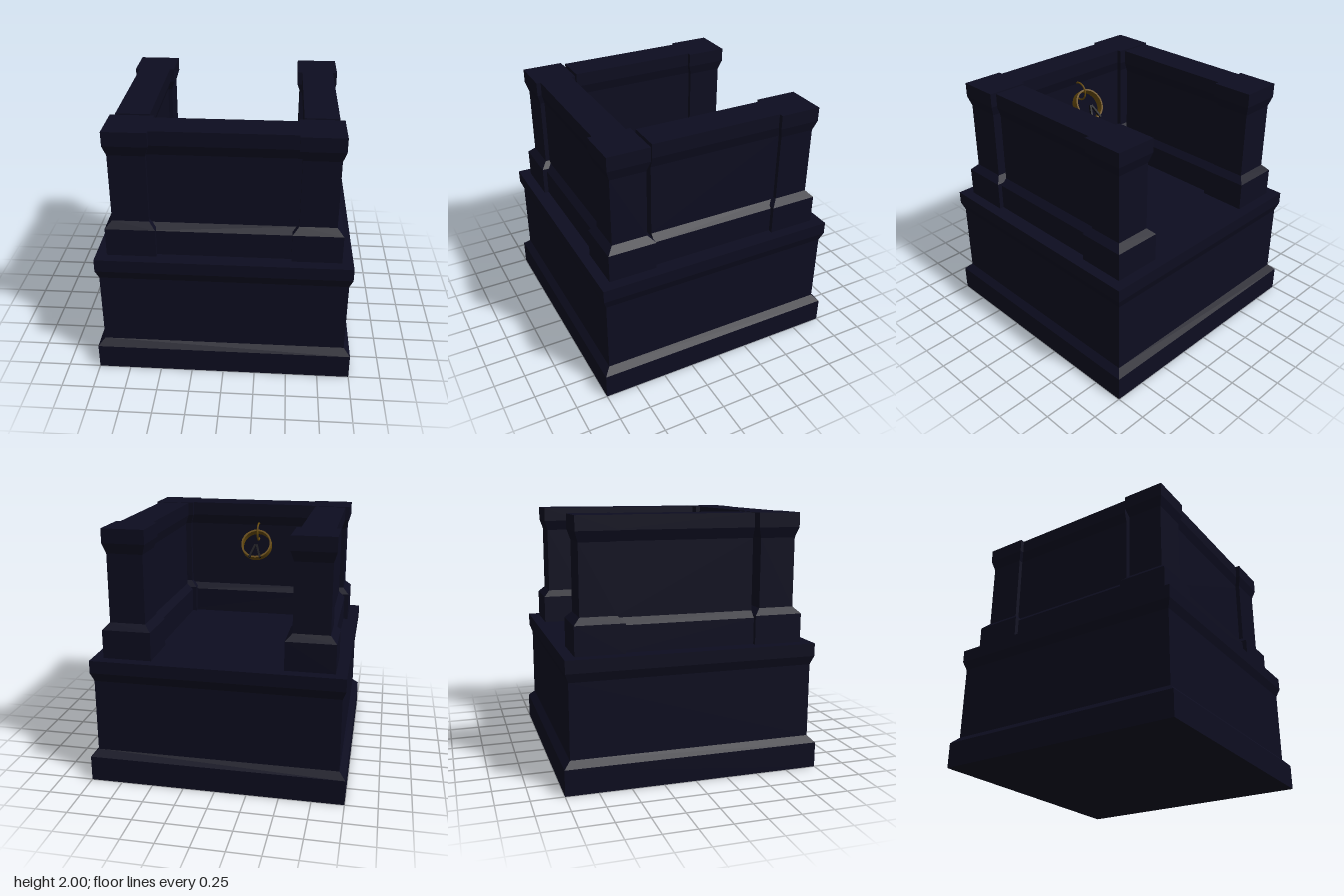
import * as THREE from 'three';
import { toCreasedNormals } from 'three/addons/utils/BufferGeometryUtils.js';

export function createModel() {
  const model = new THREE.Group();
  const stone = new THREE.MeshStandardMaterial({ color: 0x0d0d20 });
  stone.name = 'dark stone';
  const brass = new THREE.MeshStandardMaterial({ color: 0x664a0a });
  brass.name = 'aged brass';
  const iron = new THREE.MeshStandardMaterial({ color: 0x0b0a12 });
  iron.name = 'black iron';

  const add = (parent, name, geometry, material, x = 0, y = 0, z = 0) => {
    const mesh = new THREE.Mesh(geometry, material);
    mesh.name = name;
    mesh.position.set(x, y, z);
    parent.add(mesh);
    return mesh;
  };

  // Square moulded block from [halfWidth, height] pairs
  const squareBlock = (profile) => {
    const points = [[0, profile[0][1]], ...profile, [0, profile[profile.length - 1][1]]]
      .map(([r, y]) => new THREE.Vector2(r * Math.SQRT2, y));
    return toCreasedNormals(new THREE.LatheGeometry(points, 4, Math.PI / 4), 0.2);
  };

  // Moulded wall running along z from z0 to z1
  const wallBlock = (profile, z0, z1) => {
    const shape = new THREE.Shape([
      ...profile.map(([r, y]) => new THREE.Vector2(r, y)),
      ...[...profile].reverse().map(([r, y]) => new THREE.Vector2(-r, y)),
    ]);
    const geometry = new THREE.ExtrudeGeometry(shape, { depth: z1 - z0, bevelEnabled: false });
    return geometry.translate(0, 0, z0);
  };

  // Plinth
  add(model, 'plinth', squareBlock([
    [1, 0], [1, 0.2], [0.95, 0.25], [0.95, 0.83], [0.975, 0.9], [0.975, 1],
  ]), stone);

  // Corner pillars
  const pillar = squareBlock([
    [0.19, 1], [0.19, 1.225], [0.14, 1.275], [0.14, 1.81], [0.165, 1.89], [0.165, 2],
  ]);
  for (const x of [-0.7, 0.7]) {
    for (const z of [-0.7, 0.7]) add(model, 'cornerPillar', pillar, stone, x, 0, z);
  }

  // Side walls stop just short of the front pillars; the back stays open
  const wallProfile = [
    [0.155, 1], [0.155, 1.205], [0.105, 1.255], [0.105, 1.81], [0.13, 1.89], [0.13, 2],
  ];
  const sideWall = wallBlock(wallProfile, -0.58, 0.51);
  for (const x of [-0.7, 0.7]) add(model, 'sideWall', sideWall, stone, x);
  const frontWall = wallBlock(wallProfile, -0.58, 0.58).rotateY(Math.PI / 2);
  add(model, 'frontWall', frontWall, stone, 0, 0, 0.7);

  // Wall ring that holds the collar
  const ring = add(model, 'wallRing', new THREE.TorusGeometry(0.075, 0.008, 8, 24), brass, -0.065, 1.755, 0.56);
  ring.rotation.y = Math.PI / 2;

  // Hanging collar, tilted away from the wall
  const collar = new THREE.Group();
  collar.name = 'hangingCollar';
  collar.position.set(-0.065, 1.655, 0.456);
  collar.rotation.x = -0.95;
  model.add(collar);
  const band = [[0.135, -0.032], [0.135, 0.032], [0.12, 0.032], [0.12, -0.032], [0.135, -0.032]]
    .map(([r, y]) => new THREE.Vector2(r, y));
  add(collar, 'collarBand', toCreasedNormals(new THREE.LatheGeometry(band, 24), 0.6), brass);

  // Two iron prongs meeting inside the collar
  for (const s of [-1, 1]) {
    const prong = add(collar, 'collarProng', new THREE.BoxGeometry(0.018, 0.018, 0.13), iron, s * 0.027, 0.034, -0.075);
    prong.rotation.y = -s * 0.33;
  }
  return model;
}
